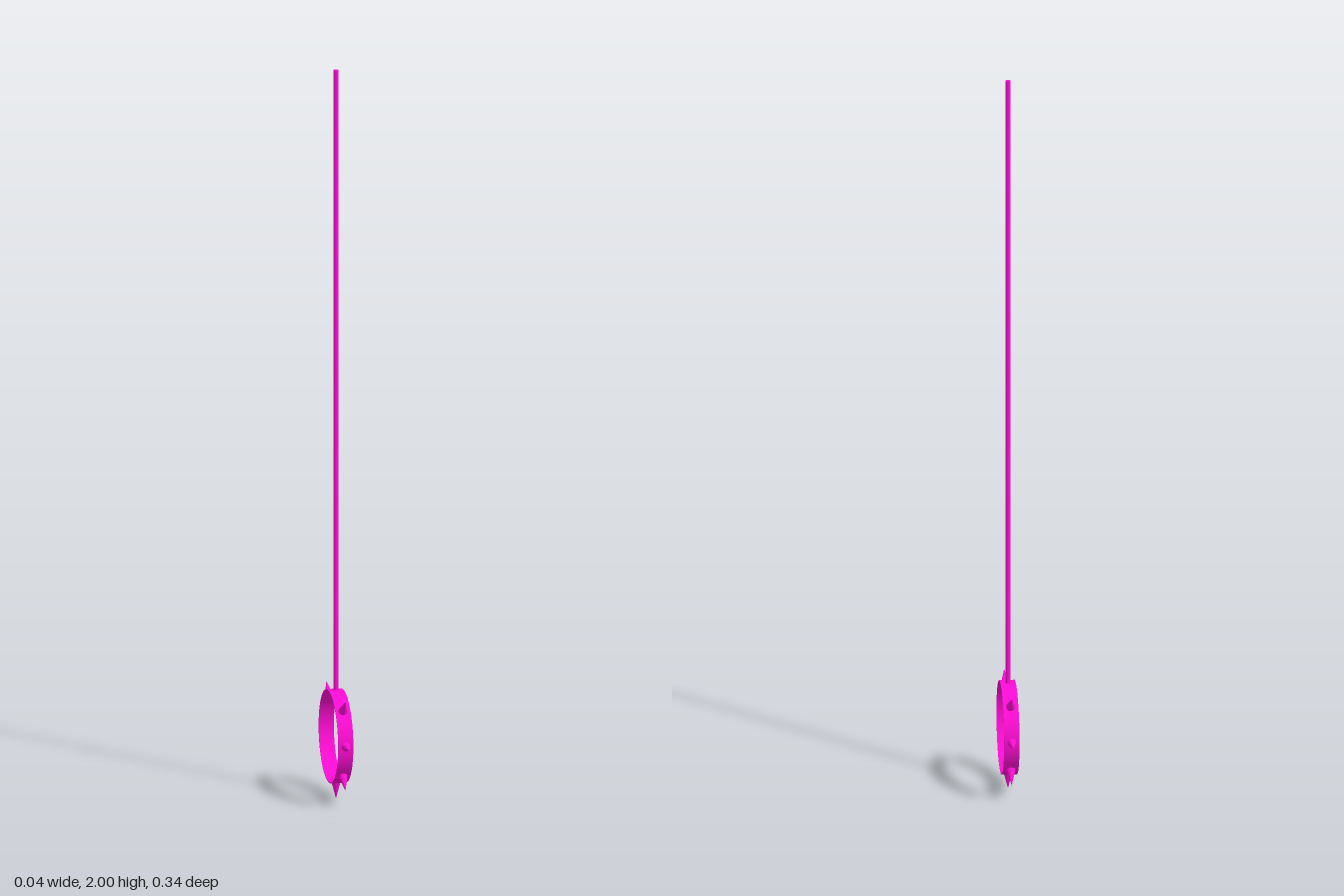
import * as THREE from 'three';

const RING_Y = 0.173, RING_R = 0.126, RING_W = 0.041, WALL = 0.003;
const SPIKE_LEN = 0.047, SPIKE_R = 0.0125;

export function createModel() {
  const group = new THREE.Group();
  const material = new THREE.MeshStandardMaterial({ color: 0xff0cd4 });

  const add = (name, geometry, parent = group) => {
    const mesh = new THREE.Mesh(geometry, material);
    mesh.name = name;
    parent.add(mesh);
    return mesh;
  };

  // Long thin rod from the top of the ring
  const rodBottom = RING_Y + RING_R - WALL / 2;
  const rodLength = 2 - rodBottom;
  add('rod', new THREE.CylinderGeometry(0.007, 0.007, rodLength, 24))
    .position.y = rodBottom + rodLength / 2;

  // Thin flat band, its axis along x
  const outline = new THREE.Shape().absarc(0, 0, RING_R, 0, Math.PI * 2);
  outline.holes.push(new THREE.Path().absarc(0, 0, RING_R - WALL, 0, Math.PI * 2, true));
  const band = new THREE.ExtrudeGeometry(outline, { depth: RING_W, bevelEnabled: false, curveSegments: 64 });
  band.translate(0, 0, -RING_W / 2).rotateY(Math.PI / 2);
  // Smooth the curved walls; keep the flat rims
  const p = band.attributes.position, n = band.attributes.normal;
  for (let i = 0; i < p.count; i++) {
    if (Math.abs(n.getX(i)) > 0.5) continue;
    const r = Math.hypot(p.getY(i), p.getZ(i));
    const s = (r > RING_R - WALL / 2 ? 1 : -1) / r;
    n.setXYZ(i, 0, p.getY(i) * s, p.getZ(i) * s);
  }
  add('ring', band).position.y = RING_Y;

  // Seven spikes at eighths of the ring; the rod takes the eighth place
  const spikes = new THREE.Group();
  spikes.name = 'spikes';
  spikes.position.y = RING_Y;
  group.add(spikes);
  const cone = new THREE.ConeGeometry(SPIKE_R, SPIKE_LEN, 24);
  cone.translate(0, RING_R + SPIKE_LEN / 2 - 0.001, 0);
  for (let i = 1; i < 8; i++) {
    add('spike' + i, cone, spikes).rotation.x = (i * Math.PI) / 4;
  }

  return group;
}
